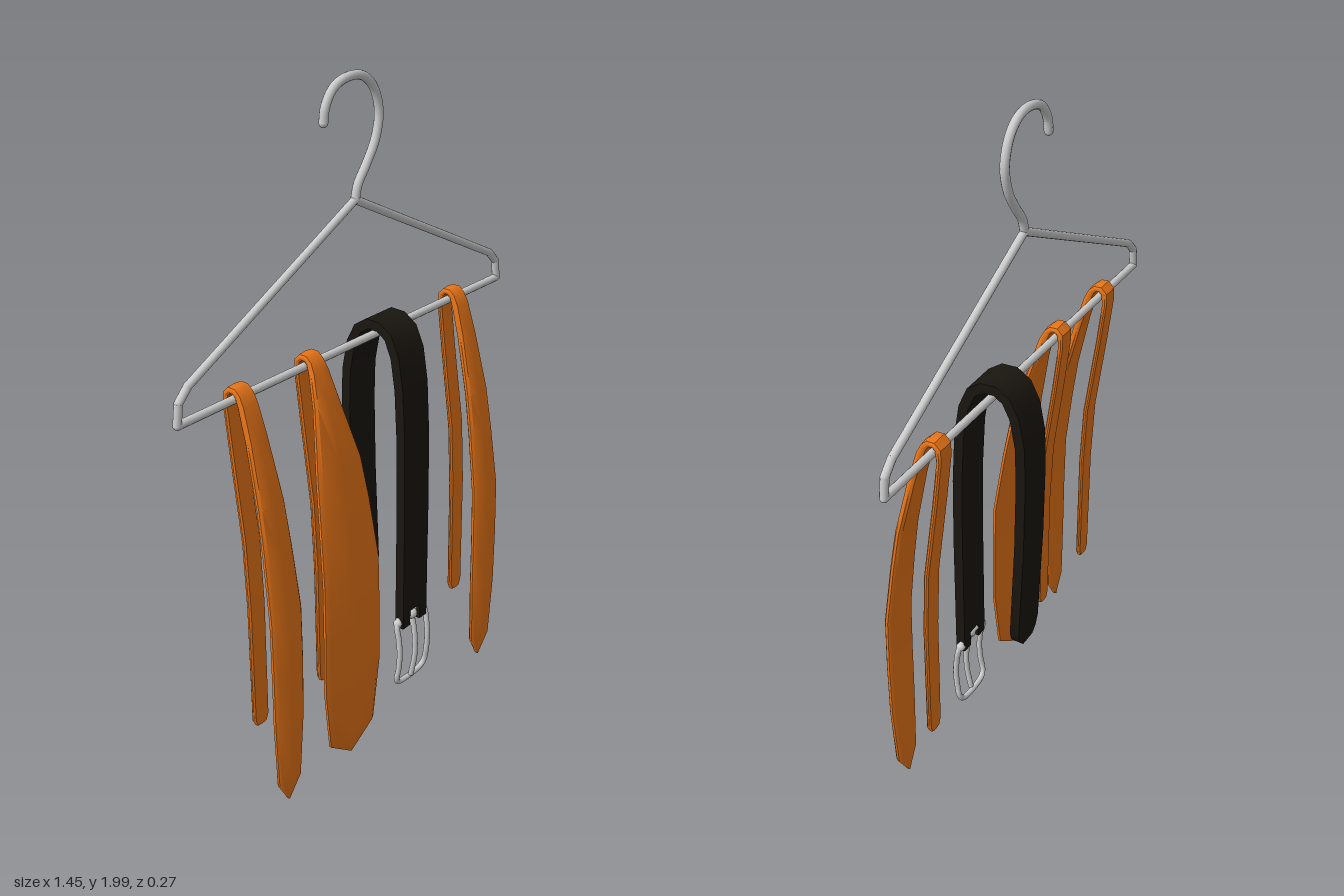
import * as THREE from 'three';
import { toCreasedNormals } from 'three/addons/utils/BufferGeometryUtils.js';

const metal = new THREE.MeshStandardMaterial({ color: 0xcccccc });
const silk = new THREE.MeshStandardMaterial({ color: 0xe87518 });
const leather = new THREE.MeshStandardMaterial({ color: 0x1a1610 });
const V = (x, y, z) => new THREE.Vector3(x, y, z);

// Cross-sections in (width, thickness), counter-clockwise
const SOFT = [[1, -0.3], [1, 0.3], [0.86, 0.8], [0, 1], [-0.86, 0.8], [-1, 0.3], [-1, -0.3], [-0.86, -0.8], [0, -1], [0.86, -0.8]];
const FLAT = [[1, -1], [1, 1], [-1, 1], [-1, -1]];

function mesh(name, geometry, material) {
  const m = new THREE.Mesh(geometry, material);
  m.name = name;
  return m;
}

// Sweeps a section along stations [z, y, halfWidth, thickness], front bottom to back bottom
function strap(stations, section) {
  const n = section.length, last = stations.length - 1, pos = [], idx = [];
  stations.forEach(([z, y, w, t], i) => {
    const a = stations[Math.max(0, i - 1)], b = stations[Math.min(last, i + 1)];
    const len = Math.hypot(b[0] - a[0], b[1] - a[1]);
    const nz = (b[1] - a[1]) / len, ny = -(b[0] - a[0]) / len;
    for (const [u, v] of section) pos.push(u * w, y + v * t / 2 * ny, z + v * t / 2 * nz);
  });
  for (let i = 0; i < last; i++) {
    for (let j = 0; j < n; j++) {
      const k = (j + 1) % n, a = i * n, b = a + n;
      idx.push(a + j, b + j, b + k, a + j, b + k, a + k);
    }
  }
  for (let j = 1; j < n - 1; j++) {
    idx.push(0, j, j + 1, last * n, last * n + j + 1, last * n + j);
  }
  const g = new THREE.BufferGeometry();
  g.setAttribute('position', new THREE.Float32BufferAttribute(pos, 3));
  g.setIndex(idx);
  return toCreasedNormals(g, 0.7);
}

// Straight rods with rounded joints through a list of points
function rods(name, points, r) {
  const g = new THREE.Group();
  g.name = name;
  points.forEach((p, i) => {
    const ball = mesh(name + 'Joint', new THREE.SphereGeometry(r, 12, 8), metal);
    ball.position.copy(p);
    g.add(ball);
    if (!i) return;
    const d = p.clone().sub(points[i - 1]);
    const rod = mesh(name + 'Rod', new THREE.CylinderGeometry(r, r, d.length(), 12), metal);
    rod.position.copy(p).addScaledVector(d, -0.5);
    rod.quaternion.setFromUnitVectors(V(0, 1, 0), d.normalize());
    g.add(rod);
  });
  return g;
}

function hanger() {
  const g = new THREE.Group();
  g.name = 'hanger';
  const half = [[0.67, 1.325], [0.705, 1.29], [0.713, 1.232]];
  const outline = [V(0, 1.65, 0), ...half.map(([x, y]) => V(x, y, 0)),
    ...half.slice().reverse().map(([x, y]) => V(-x, y, 0)), V(0, 1.65, 0)];
  g.add(rods('hangerFrame', outline, 0.012));

  const hook = [[0, 1.65], [0.012, 1.69], [0.05, 1.74], [0.088, 1.8], [0.104, 1.87], [0.082, 1.94],
    [0.035, 1.98], [-0.03, 1.988], [-0.09, 1.968], [-0.123, 1.925], [-0.131, 1.885]].map(([x, y]) => V(x, y, 0));
  g.add(mesh('hook', new THREE.TubeGeometry(new THREE.CatmullRomCurve3(hook), 64, 0.013, 12), metal));
  const tip = mesh('hookTip', new THREE.SphereGeometry(0.013, 12, 8), metal);
  tip.position.copy(hook[hook.length - 1]);
  g.add(tip);
  g.position.z = -0.023;
  return g;
}

// Necktie folded over the bar: broad blade in front, narrow tail behind
function tie(name, x, widths) {
  const blade = [[0.118, 0.01], [0.123, 0.08], [0.127, 0.28], [0.127, 0.46], [0.124, 0.63],
    [0.1, 0.82], [0.08, 0.95], [0.038, 1.13], [0.012, 1.22]]
    .map(([z, y], i) => [z, y, widths[i], i ? 0.026 : 0.012]);
  const fold = [[0, 1.247], [-0.013, 1.259], [-0.03, 1.26], [-0.043, 1.247]].map(([z, y]) => [z, y, 0.03, 0.022]);
  const tail = [[-0.045, 1.21, 0.03], [-0.028, 1.07, 0.03], [0.006, 0.82, 0.032],
    [0.016, 0.62, 0.032], [0.019, 0.25, 0.03], [0.019, 0.23, 0.02]].map(([z, y, w]) => [z, y, w, 0.018]);
  const m = mesh(name, strap([...blade, ...fold, ...tail], SOFT), silk);
  m.position.x = x;
  return m;
}

function belt() {
  const g = new THREE.Group();
  g.name = 'belt';
  const path = [[0.088, 0.34], [0.088, 0.7], [0.085, 0.92], [0.076, 1.08], [0.06, 1.18], [0.035, 1.237],
    [0, 1.261], [-0.04, 1.263], [-0.075, 1.24], [-0.1, 1.19], [-0.117, 1.1], [-0.12, 0.98],
    [-0.115, 0.75], [-0.1, 0.43]].map(([z, y]) => [z, y, 0.06, 0.03]);
  g.add(mesh('strap', strap([...path, [-0.099, 0.395, 0.048, 0.03], [-0.098, 0.375, 0.028, 0.03]], FLAT), leather));

  // Buckle frame, curved in profile
  const bend = y => 0.075 + 0.025 * Math.sin((y - 0.05) / 0.3 * Math.PI);
  const pt = (x, y) => V(x, y, bend(y));
  const side = [[0.058, 0.315], [0.071, 0.3], [0.072, 0.25], [0.072, 0.2], [0.072, 0.15], [0.072, 0.11], [0.058, 0.09]];
  const loop = [...side.map(([x, y]) => pt(x, y)), ...side.slice().reverse().map(([x, y]) => pt(-x, y))];
  const curve = new THREE.CatmullRomCurve3(loop, true, 'centripetal');
  g.add(mesh('buckleFrame', new THREE.TubeGeometry(curve, 96, 0.009, 10, true), metal));
  const prong = new THREE.CatmullRomCurve3([0.32, 0.25, 0.17, 0.09].map(y => pt(0, y).add(V(0, 0, 0.006))));
  g.add(mesh('prong', new THREE.TubeGeometry(prong, 24, 0.009, 10), metal));
  const knob = mesh('prongKnob', new THREE.SphereGeometry(0.018, 16, 12), metal);
  knob.position.set(0, 0.316, 0.09);
  g.add(knob);

  // Leather tabs either side of the prong slot, and bar end knobs
  for (const s of [-1, 1]) {
    const tab = mesh('strapTab', new THREE.BoxGeometry(0.036, 0.055, 0.03), leather);
    tab.position.set(s * 0.042, 0.3165, 0.088);
    const end = mesh('barEnd', new THREE.SphereGeometry(0.014, 12, 8), metal);
    end.position.set(s * 0.064, 0.306, 0.085);
    g.add(tab, end);
  }
  g.position.x = 0.135;
  return g;
}

export function createModel() {
  const model = new THREE.Group();
  model.name = 'accessoryHanger';
  const slim = [0.003, 0.045, 0.059, 0.061, 0.061, 0.054, 0.049, 0.037, 0.032];
  const wide = [0.003, 0.1, 0.125, 0.124, 0.122, 0.107, 0.093, 0.052, 0.035];
  model.add(
    hanger(),
    tie('slimTieRight', -0.49, slim),
    tie('wideTie', -0.205, wide),
    tie('slimTieLeft', 0.467, slim),
    belt()
  );
  return model;
}
